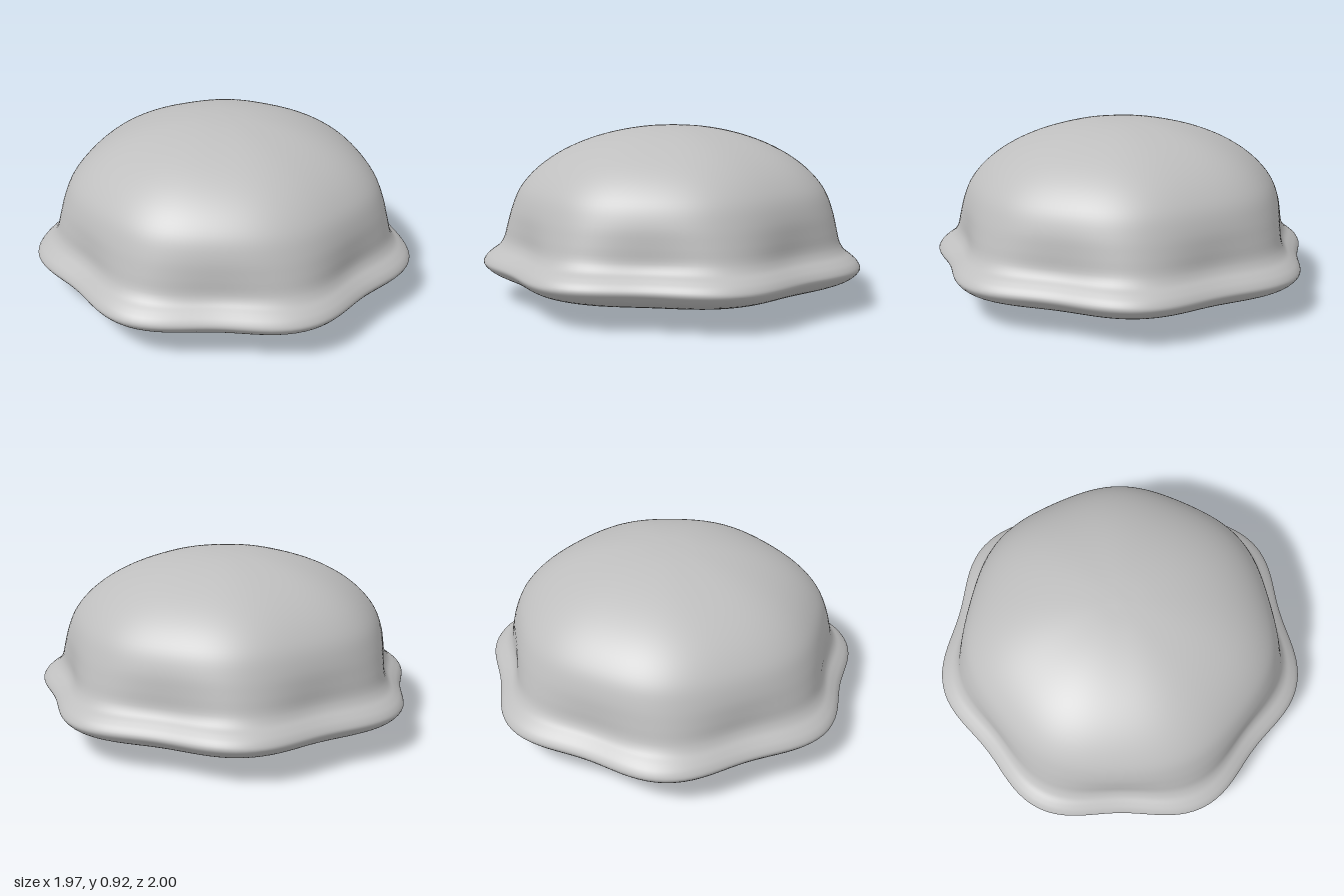
import * as THREE from 'three';
import { mergeVertices } from 'three/addons/utils/BufferGeometryUtils.js';

const LOBES = 7;

export function createModel() {
  const group = new THREE.Group();
  group.name = 'lobedDome';
  const grey = new THREE.MeshStandardMaterial({ color: 0xbfbfbf });
  grey.name = 'light grey';

  // Profile stations from the bottom centre to the crown: radius, height, lobe depth
  const stations = [
    [0, 0, 0], [0.2, 0.006, 0.001], [0.42, 0.028, 0.006], [0.66, 0.07, 0.015],
    [0.84, 0.112, 0.027], [0.925, 0.145, 0.034], [0.96, 0.172, 0.037],
    [0.978, 0.2, 0.037], [0.964, 0.23, 0.037], [0.935, 0.257, 0.036],
    [0.9, 0.285, 0.033], [0.877, 0.325, 0.029], [0.864, 0.4, 0.021],
    [0.846, 0.49, 0.013],
  ];
  // Elliptical crown
  for (let i = 1; i <= 8; i++) {
    const a = THREE.MathUtils.lerp(0.16, Math.PI / 2, i / 8);
    stations.push([0.857 * Math.cos(a), 0.42 + 0.5 * Math.sin(a), 0.011 * (1 - i / 8)]);
  }
  const curve = new THREE.CatmullRomCurve3(
    stations.map((s) => new THREE.Vector3(...s)), false, 'centripetal');
  const rows = curve.getPoints(84);
  rows[0].x = rows[84].x = 0;

  // Revolve the profile, then push each row in and out into lobes
  const segments = 140;
  let body = new THREE.LatheGeometry(rows.map((p) => new THREE.Vector2(Math.max(p.x, 0), p.y)), segments);
  const pos = body.attributes.position;
  for (let i = 0; i < pos.count; i++) {
    const x = pos.getX(i), z = pos.getZ(i);
    const r = Math.hypot(x, z);
    if (r < 1e-5) continue;
    const depth = rows[i % rows.length].z;
    const k = 1 + depth * Math.cos(LOBES * (Math.atan2(z, x) - Math.PI)) / r;
    pos.setX(i, x * k);
    pos.setZ(i, z * k);
  }
  // Weld the seam and poles for smooth normals
  body.deleteAttribute('uv');
  body.deleteAttribute('normal');
  body = mergeVertices(body, 1e-5);
  body.computeVertexNormals();
  body.translate(0.03, 0, 0);

  const mesh = new THREE.Mesh(body, grey);
  mesh.name = 'domeWithWavyRim';
  group.add(mesh);
  return group;
}
